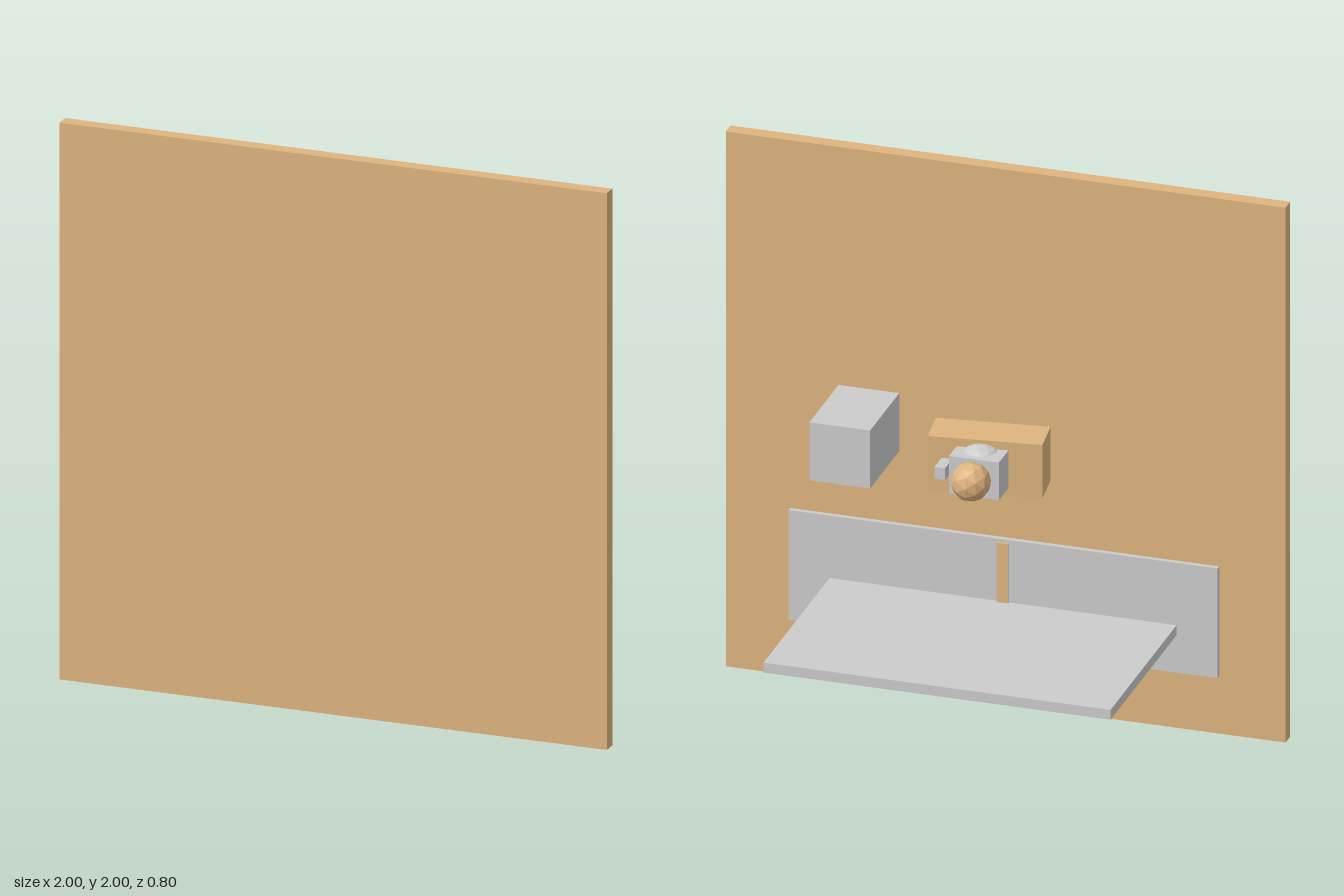
import * as THREE from 'three';

const grey = new THREE.MeshStandardMaterial({ color: 0xcccccc, flatShading: true });
const tan = new THREE.MeshStandardMaterial({ color: 0xdeb47e, flatShading: true });

function add(parent, name, geometry, material, x, y, z) {
  const mesh = new THREE.Mesh(geometry, material);
  mesh.name = name;
  mesh.position.set(x, y, z);
  parent.add(mesh);
  return mesh;
}

// Box given by its [min, max] range on each axis
function addBox(parent, name, material, [x0, x1], [y0, y1], [z0, z1]) {
  const geometry = new THREE.BoxGeometry(x1 - x0, y1 - y0, z1 - z0);
  return add(parent, name, geometry, material, (x0 + x1) / 2, (y0 + y1) / 2, (z0 + z1) / 2);
}

export function createModel() {
  const model = new THREE.Group();
  model.name = 'wallBoardWithFittings';

  // Large square board
  addBox(model, 'board', tan, [-1, 1], [0, 2], [0.35, 0.402]);

  // Shelf with its low panel and centre strip
  addBox(model, 'shelf', grey, [-0.62, 0.62], [0.36, 0.397], [-0.402, 0.352]);
  addBox(model, 'panel', grey, [-0.767, 0.767], [0.22, 0.63], [0.322, 0.34]);
  addBox(model, 'panelStrip', tan, [-0.02, 0.02], [0.23, 0.618], [0.312, 0.323]);

  // Block standing out from the board
  addBox(model, 'sideBlock', grey, [0.38, 0.597], [0.893, 1.11], [0.03, 0.352]);

  // Turned block
  const block = add(model, 'turnedBlock', new THREE.BoxGeometry(0.396, 0.2, 0.151), tan, 0, 1, 0.17);
  block.rotation.y = 0.127;

  // Small mechanism with ball end
  const device = new THREE.Group();
  device.name = 'mechanism';
  device.position.y = 1;
  model.add(device);
  addBox(device, 'body', grey, [-0.09, 0.088], [-0.07, 0.07], [0, 0.245]);
  add(device, 'innerBall', new THREE.IcosahedronGeometry(0.091, 2), grey, 0, 0, 0.078);
  add(device, 'endBall', new THREE.IcosahedronGeometry(0.07, 1), tan, 0, 0, -0.03);
  addBox(device, 'sideBar', grey, [0.102, 0.14], [-0.022, 0.022], [0, 0.255]);
  addBox(device, 'barLink', grey, [0.08, 0.105], [-0.012, 0.012], [0.05, 0.2]);

  return model;
}
